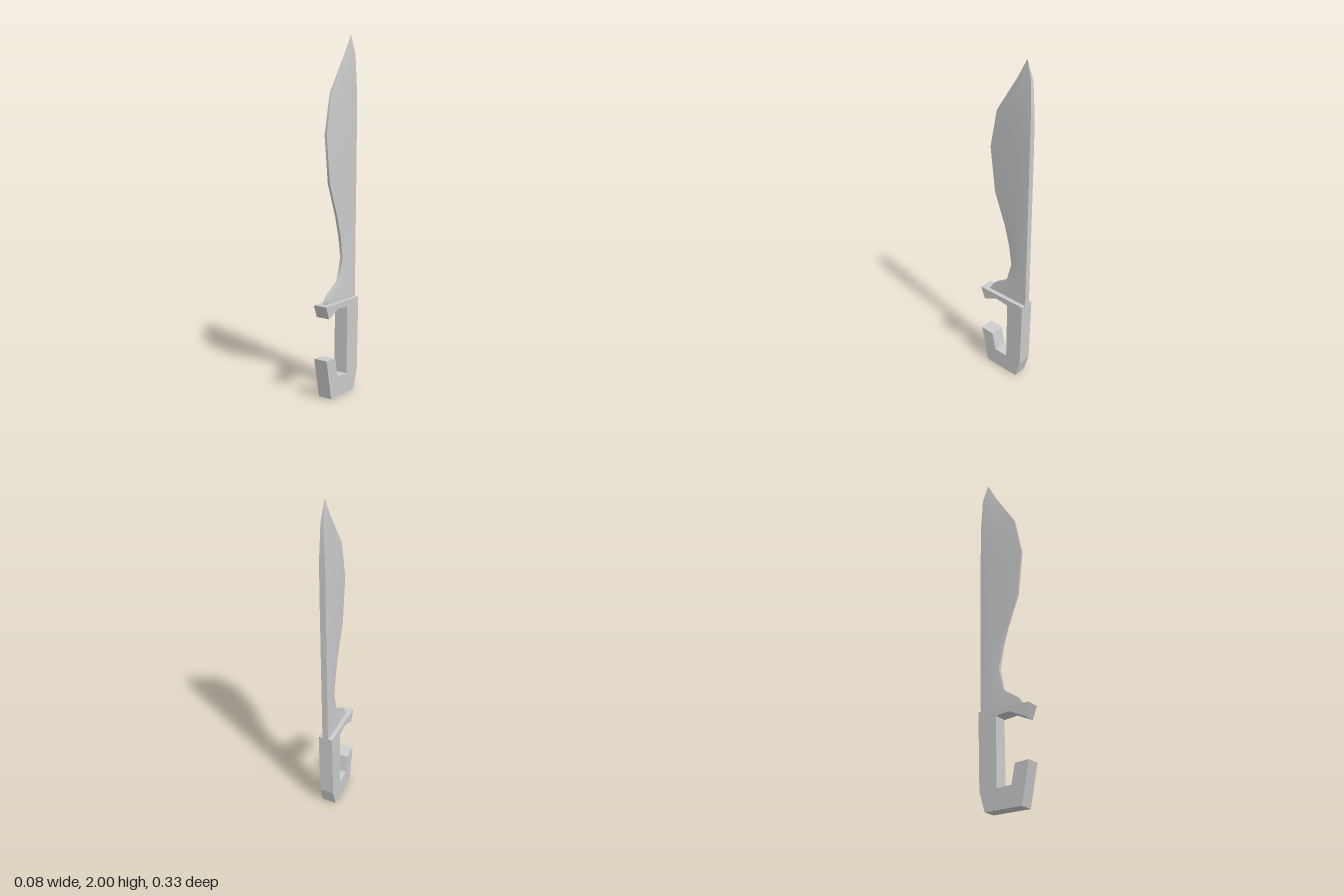
import * as THREE from 'three';
import { toCreasedNormals } from 'three/addons/utils/BufferGeometryUtils.js';

const material = new THREE.MeshStandardMaterial({ color: 0xcccccc });

// Hooked handle: side outline as [z, y], extruded across x
function makeHandle() {
  const width = 0.084;
  const outline = [
    [0.167, 0.538], [0.14, 0.466], [0.048, 0.508], [-0.034, 0.498],
    [-0.026, 0.114], [0.061, 0.119], [0.082, 0.228], [0.165, 0.235],
    [0.122, 0.006], [-0.098, 0], [-0.132, 0.111], [-0.145, 0.537],
  ];
  const shape = new THREE.Shape(outline.map(([z, y]) => new THREE.Vector2(z, y)));
  const geometry = new THREE.ExtrudeGeometry(shape, { depth: width, bevelEnabled: false });
  geometry.translate(0, 0, -width / 2).rotateY(-Math.PI / 2);
  const handle = new THREE.Mesh(geometry, material);
  handle.name = 'handle';
  return handle;
}

// Blade: six-sided cross-sections lofted upward
function makeBlade() {
  // [y, edge z, ridge z, spine z, edge half width, ridge half width, spine half width]
  const sections = [
    [0.515, 0.122, -0.07, -0.147, 0.016, 0.018, 0.017],
    [0.540, 0.120, -0.07, -0.147, 0.016, 0.018, 0.017],
    [0.583, 0.093, -0.075, -0.148, 0.014, 0.018, 0.017],
    [0.646, -0.003, -0.08, -0.149, 0.011, 0.018, 0.017],
    [0.773, -0.037, -0.09, -0.151, 0.009, 0.018, 0.017],
    [0.895, -0.018, -0.088, -0.153, 0.008, 0.018, 0.017],
    [1.010, 0.013, -0.082, -0.155, 0.007, 0.018, 0.017],
    [1.197, 0.082, -0.076, -0.158, 0.007, 0.018, 0.017],
    [1.462, 0.111, -0.076, -0.162, 0.007, 0.018, 0.017],
    [1.684, 0.066, -0.085, -0.165, 0.006, 0.017, 0.016],
    [1.895, -0.069, -0.115, -0.158, 0.003, 0.010, 0.009],
    [2.000, -0.125, -0.126, -0.127, 0.0005, 0.0008, 0.0005],
  ];
  const positions = [];
  const indices = [];
  for (const [y, ez, rz, sz, ew, rw, sw] of sections) {
    positions.push(ew, y, ez, rw, y, rz, sw, y, sz, -sw, y, sz, -rw, y, rz, -ew, y, ez);
  }
  for (let row = 0; row < sections.length - 1; row++) {
    for (let i = 0; i < 6; i++) {
      const a = row * 6 + i;
      const b = row * 6 + (i + 1) % 6;
      indices.push(a, b, b + 6, a, b + 6, a + 6);
    }
  }
  // Close the tip and the base
  const top = (sections.length - 1) * 6;
  for (let i = 1; i < 5; i++) {
    indices.push(top, top + i, top + i + 1, 0, i + 1, i);
  }
  const geometry = new THREE.BufferGeometry();
  geometry.setAttribute('position', new THREE.Float32BufferAttribute(positions, 3));
  geometry.setIndex(indices);
  const blade = new THREE.Mesh(toCreasedNormals(geometry, 0.8), material);
  blade.name = 'blade';
  return blade;
}

export function createModel() {
  const sword = new THREE.Group();
  sword.name = 'sword';
  sword.add(makeHandle(), makeBlade());
  return sword;
}
